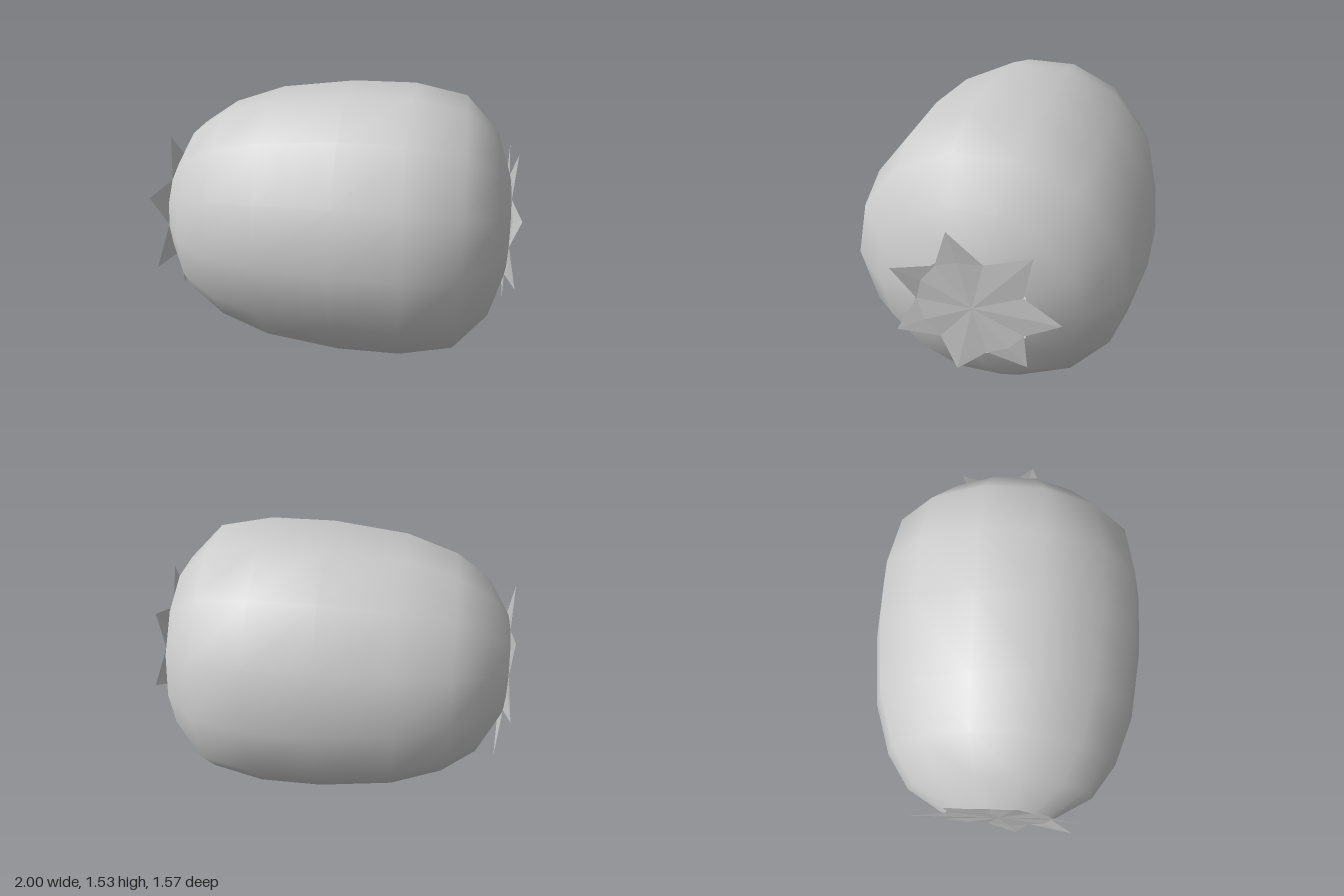
import * as THREE from 'three';

const CENTER_Y = 0.765;
const SIDES = 14;

// Rounded barrel body, turned about the x axis, fuller towards +x
function makeBody(material) {
  const profile = [
    [0.30, -0.955], [0.51, -0.83], [0.64, -0.64], [0.735, -0.36], [0.784, 0.05],
    [0.784, 0.40], [0.725, 0.69], [0.53, 0.875], [0.30, 0.955],
  ].map(([r, x]) => new THREE.Vector2(r, x));
  const geometry = new THREE.LatheGeometry(profile, SIDES);
  geometry.rotateZ(-Math.PI / 2);
  const body = new THREE.Mesh(geometry, material);
  body.name = 'body';
  return body;
}

// Flat end cap ringed by seven pointed, lightly folded leaves.
// tips: [z, y, x] per leaf, relative to the body axis; side is +1 or -1
function makeStar(tips, side, material) {
  const positions = [];
  const onRing = (angle, x, r = 0.29) =>
    new THREE.Vector3(side * x, r * Math.sin(angle), r * Math.cos(angle));
  const face = (a, b, c) => {
    // wind each triangle so that it faces away from the body
    const normal = new THREE.Vector3().crossVectors(b.clone().sub(a), c.clone().sub(a));
    const order = normal.x * side >= 0 ? [a, b, c] : [a, c, b];
    order.forEach((p) => positions.push(p.x, p.y, p.z));
  };
  const center = new THREE.Vector3(side * 0.96, 0, 0);
  const angles = tips.map(([z, y]) => Math.atan2(y, z));
  const between = (a, b) => {
    let d = b - a;
    if (d < 0) d += Math.PI * 2;
    return a + d / 2;
  };
  tips.forEach(([z, y, x], i) => {
    const n = tips.length;
    const start = onRing(between(angles[(i + n - 1) % n], angles[i]), 0.958);
    const end = onRing(between(angles[i], angles[(i + 1) % n]), 0.958);
    const ridge = onRing(angles[i], 0.966, 0.285);
    const tip = new THREE.Vector3(side * x, y, z);
    face(center, start, ridge);
    face(center, ridge, end);
    face(start, tip, ridge);
    face(ridge, tip, end);
  });
  const geometry = new THREE.BufferGeometry();
  geometry.setAttribute('position', new THREE.Float32BufferAttribute(positions, 3));
  geometry.computeVertexNormals();
  const star = new THREE.Mesh(geometry, material);
  star.name = side > 0 ? 'leftLeafStar' : 'rightLeafStar';
  return star;
}

export function createModel() {
  const smooth = new THREE.MeshStandardMaterial({ color: 0xcccccc, side: THREE.DoubleSide });
  const faceted = new THREE.MeshStandardMaterial({
    color: 0xcccccc, side: THREE.DoubleSide, flatShading: true,
  });

  // Leaf tips listed by increasing angle from +z towards +y
  const leftTips = [
    [0.395, 0.20, 1.0], [0.10, 0.46, 0.98], [-0.31, 0.38, 0.965], [-0.455, 0.005, 0.97],
    [-0.28, -0.335, 0.955], [0.095, -0.435, 0.968], [0.395, -0.20, 1.0],
  ];
  const rightTips = [
    [0.42, 0.215, 1.0], [0.10, 0.47, 0.975], [-0.28, 0.33, 0.965], [-0.49, -0.03, 0.97],
    [-0.33, -0.415, 0.935], [0.10, -0.495, 0.98], [0.42, -0.215, 1.0],
  ];

  const model = new THREE.Group();
  model.name = 'barrelFruit';
  model.add(
    makeBody(smooth),
    makeStar(leftTips, 1, faceted),
    makeStar(rightTips, -1, faceted),
  );
  model.children.forEach((part) => { part.position.y = CENTER_Y; });
  return model;
}
